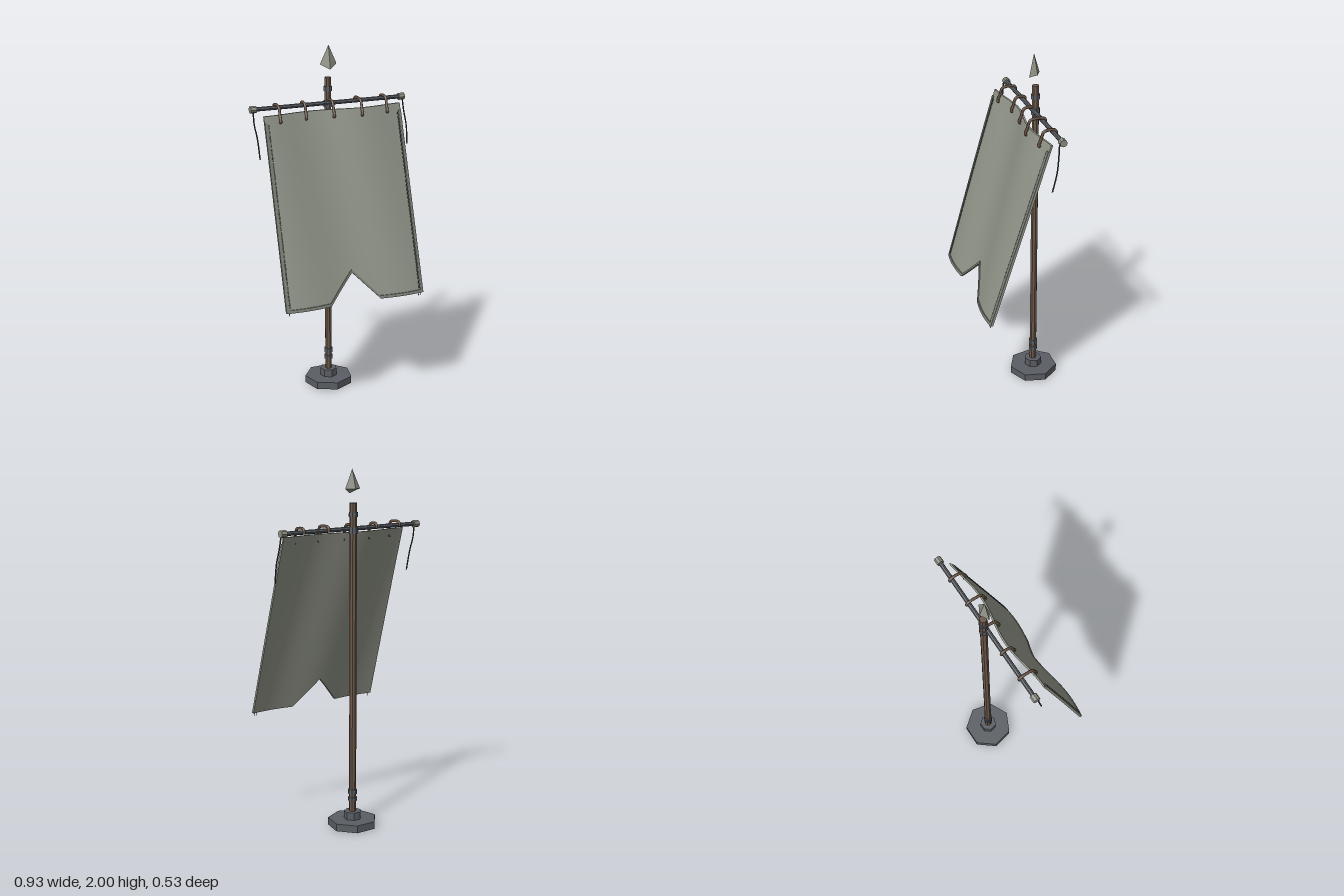
import * as THREE from 'three';

const mat = (name, color, opts = {}) => {
  const m = new THREE.MeshStandardMaterial({ color, ...opts });
  m.name = name;
  return m;
};

const PX = -0.003, PZ = -0.137;      // pole axis
const BAR_Y = 1.68, BAR_Z = -0.123;  // crossbar axis
const TOP = 1.655, LOW = 0.635, HALF = 0.4125;

// Billow of the hanging cloth, and its swallow-tail lower edge
const clothZ = (x, y) => {
  const t = (TOP - y) / (TOP - LOW);
  return -0.064 + 0.308 * t + (0.017 - 0.004 * t) * Math.sin(10.8 * (x - 0.025) - 1.4 * t);
};
const lowerEdge = (x) => LOW + 0.155 * Math.max(0, 1 - Math.abs(x) / 0.15);

// Box bent to the cloth: spans x0..x1, between two edge rules, from depth d0 to d1
function clothPiece(x0, x1, bottom, top, d0, d1, nx, ny) {
  const geo = new THREE.BoxGeometry(1, 1, 1, nx, ny, 1);
  const p = geo.attributes.position;
  for (let i = 0; i < p.count; i++) {
    const x = x0 + (x1 - x0) * (p.getX(i) + 0.5);
    const y = bottom(x) + (top(x) - bottom(x)) * (p.getY(i) + 0.5);
    const d = p.getZ(i) > 0 ? d1 : d0;
    p.setXYZ(i, x + PX, y, clothZ(x, y) + d);
  }
  geo.computeVertexNormals();
  return geo;
}

export function createModel() {
  const model = new THREE.Group();
  model.name = 'bannerStand';

  const iron = mat('darkIron', 0x5a5e64, { flatShading: true });
  const wood = mat('brownWood', 0x6c584a, { flatShading: true });
  const pale = mat('paleMetal', 0x8e8f83, { flatShading: true, side: THREE.DoubleSide });
  const cloth = mat('greyCloth', 0x8f9387);
  const hem = mat('hemCloth', 0x797d73);
  const thread = mat('darkThread', 0x434442);
  const leather = mat('leather', 0x655040);

  const add = (name, geo, material, parent = model) => {
    const mesh = new THREE.Mesh(geo, material);
    mesh.name = name;
    parent.add(mesh);
    return mesh;
  };
  const group = (name) => {
    const g = new THREE.Group();
    g.name = name;
    model.add(g);
    return g;
  };
  const upright = (name, r, y0, y1, sides, material) =>
    add(name, new THREE.CylinderGeometry(r, r, y1 - y0, sides), material)
      .position.set(PX, (y0 + y1) / 2, PZ);

  // Foot, pole and its bands
  upright('base', 0.139, 0, 0.042, 7, iron);
  upright('baseCollar', 0.049, 0.042, 0.085, 7, iron);
  upright('pole', 0.02, 0.08, 1.82, 8, wood);
  for (const [y0, y1] of [[0.145, 0.167], [0.185, 0.212], [1.655, 1.69], [1.745, 1.77]])
    upright('poleBand', 0.025, y0, y1, 8, iron);

  // Spear tip: four lower corners, the front one dipping
  const c = [[0, 1.868, -0.1], [0.049, 1.895, -0.13], [0, 1.895, -0.157], [-0.049, 1.895, -0.13]];
  const apex = [0, 2, -0.126];
  const tri = [];
  for (let i = 0; i < 4; i++) tri.push(...c[i], ...c[(i + 1) % 4], ...apex);
  tri.push(...c[0], ...c[2], ...c[1], ...c[0], ...c[3], ...c[2]);
  const tip = new THREE.BufferGeometry();
  tip.setAttribute('position', new THREE.Float32BufferAttribute(tri, 3));
  tip.computeVertexNormals();
  add('spearTip', tip, pale).position.x = PX;

  // Crossbar with end caps
  const rod = (name, r, x0, x1, material) => {
    const m = add(name, new THREE.CylinderGeometry(r, r, x1 - x0, 8), material);
    m.rotation.z = Math.PI / 2;
    m.position.set((x0 + x1) / 2 + PX, BAR_Y, BAR_Z);
  };
  rod('crossbar', 0.012, -0.44, 0.44, iron);
  for (const s of [-1, 1]) rod('crossbarCap', 0.02, s * 0.4435 - 0.0175, s * 0.4435 + 0.0175, pale);

  // Banner cloth
  const banner = group('banner');
  const flat = (y) => () => y;
  add('cloth', clothPiece(-HALF, HALF, lowerEdge, flat(TOP), -0.005, 0.005, 44, 32), cloth, banner);

  // Raised hems down both sides, along the tails and across the top
  for (const s of [-1, 1]) {
    const span = [s * 0.395, s * HALF].sort((a, b) => a - b);
    add('sideHem', clothPiece(...span, flat(LOW), flat(1.62), 0.004, 0.01, 1, 32), hem, banner);
  }
  add('lowerHem', clothPiece(-HALF, HALF, lowerEdge, (x) => lowerEdge(x) + 0.016, 0.004, 0.01, 44, 1), hem, banner);

  // Stitching beside the side hems
  for (const s of [-1, 1]) {
    for (let i = 0; i < 40; i++) {
      const y = 0.66 + i * 0.0238;
      const x = s * 0.391;
      add('stitch', clothPiece(x - 0.0035, x + 0.0035, flat(y), flat(y + 0.019), 0.004, 0.009, 1, 1), thread, banner);
    }
  }

  // Hanging straps: over the bar, forward, and down the face of the cloth
  const straps = group('straps');
  for (const x of [-0.32, -0.16, 0, 0.16, 0.32]) {
    const z = clothZ(x, 1.64);
    const pts = [
      [1.672, BAR_Z - 0.012], [1.69, BAR_Z - 0.012], [1.699, BAR_Z],
      [1.699, z - 0.022], [1.692, z - 0.006], [1.655, z + 0.008], [1.62, z + 0.02],
      [1.615, z + 0.012], [1.618, z - 0.002],
    ].map(([y, pz]) => new THREE.Vector3(x + PX, y, pz));
    const path = new THREE.CatmullRomCurve3(pts);
    add('strap', new THREE.TubeGeometry(path, 28, 0.008, 6), leather, straps);
    const knob = add('strapEnd', new THREE.SphereGeometry(0.0095, 8, 6), leather, straps);
    knob.position.set(x + PX, 1.62, z + 0.018);
  }

  // Loose cords hanging from the bar ends
  const cords = [
    [[-0.452, 1.67, -0.106], [-0.449, 1.6, -0.1], [-0.438, 1.53, -0.088], [-0.432, 1.415, -0.066]],
    [[0.441, 1.67, -0.106], [0.449, 1.6, -0.1], [0.46, 1.52, -0.088], [0.456, 1.415, -0.066]],
  ];
  for (const pts of cords) {
    const path = new THREE.CatmullRomCurve3(pts.map((p) => new THREE.Vector3(...p)));
    add('cord', new THREE.TubeGeometry(path, 14, 0.004, 5), thread);
  }

  // Frayed threads at the lower corners
  for (const x of [-0.395, 0.385, 0.4]) {
    const z = clothZ(x, LOW);
    const path = new THREE.LineCurve3(new THREE.Vector3(x, LOW + 0.01, z), new THREE.Vector3(x - 0.006, LOW - 0.018, z + 0.004));
    add('frayedThread', new THREE.TubeGeometry(path, 1, 0.002, 4), thread, banner);
  }

  return model;
}
